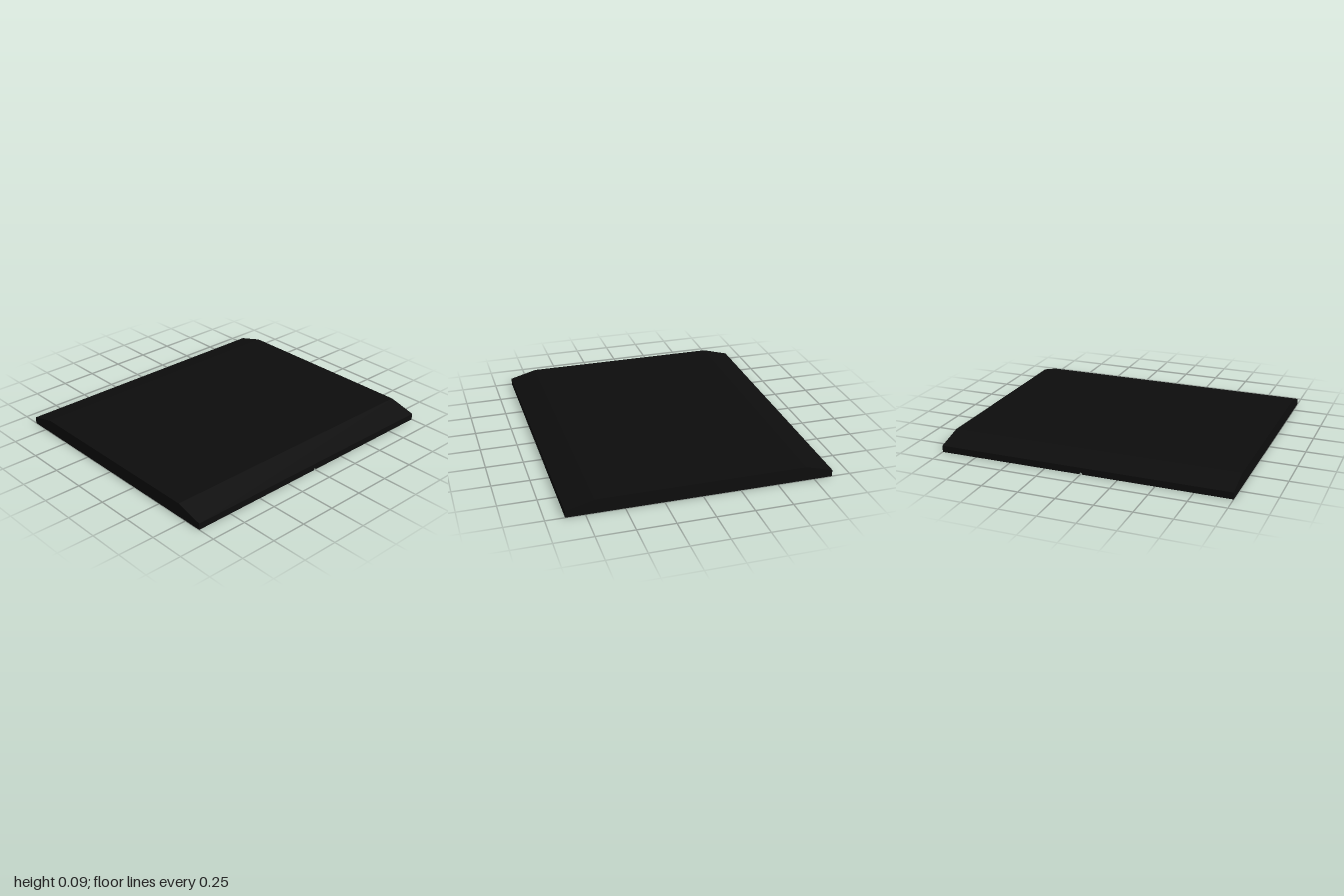
import * as THREE from 'three';

const HALF_X = 0.875, FLOOR = 0.045, TOP = 0.095;
const PX = 0.434, PZ = 0.5; // pocket centres, mirrored in x and z

// Counter-clockwise rounded rectangle
function roundedRect(path, cx, cz, hx, hz, r) {
  path.absarc(cx + hx - r, cz - hz + r, r, -Math.PI / 2, 0);
  path.absarc(cx + hx - r, cz + hz - r, r, 0, Math.PI / 2);
  path.absarc(cx - hx + r, cz + hz - r, r, Math.PI / 2, Math.PI);
  path.absarc(cx - hx + r, cz - hz + r, r, Math.PI, Math.PI * 1.5);
  path.closePath();
  return path;
}

// Horizontal layer of the base between two heights, pierced by the given pockets
function layer(z0, z1, y0, y1, rows) {
  const s = new THREE.Shape();
  s.moveTo(-HALF_X, z0).lineTo(HALF_X, z0).lineTo(HALF_X, z1).lineTo(-HALF_X, z1).closePath();
  for (const sz of rows) for (const sx of [-1, 1])
    s.holes.push(roundedRect(new THREE.Path(), sx * PX, sz * PZ, 0.305, 0.375, 0.1));
  const g = new THREE.ExtrudeGeometry(s, { depth: y1 - y0, bevelEnabled: false, curveSegments: 8 });
  return g.rotateX(Math.PI / 2).translate(0, y1, 0);
}

// Sloping wall from the pocket's rim up to its floor
function pocketWall() {
  const outer = roundedRect(new THREE.Path(), 0, 0, 0.305, 0.375, 0.1).getPoints(8);
  const inner = roundedRect(new THREE.Path(), 0, 0, 0.26, 0.33, 0.06).getPoints(8);
  const pos = [], idx = [];
  outer.forEach((p, i) => {
    pos.push(p.x, 0, p.y, inner[i].x, FLOOR, inner[i].y);
    if (i < outer.length - 1) {
      const a = 2 * i;
      idx.push(a, a + 2, a + 1, a + 2, a + 3, a + 1);
    }
  });
  const g = new THREE.BufferGeometry();
  g.setAttribute('position', new THREE.Float32BufferAttribute(pos, 3));
  g.setIndex(idx);
  g.computeVertexNormals();
  return g;
}

export function createModel() {
  const group = new THREE.Group();
  const black = new THREE.MeshStandardMaterial({ color: 0x0d0d0d });
  black.name = 'matte black';
  const red = new THREE.MeshStandardMaterial({ color: 0xc8301a });
  red.name = 'glowing red';

  const add = (name, geometry, material, x = 0, y = 0, z = 0) => {
    const m = new THREE.Mesh(geometry, material);
    m.name = name;
    m.position.set(x, y, z);
    group.add(m);
  };

  // Upper slab with its two long sides chamfered
  const profile = new THREE.Shape();
  profile.moveTo(-HALF_X, FLOOR).lineTo(HALF_X, FLOOR).lineTo(0.69, TOP).lineTo(-0.69, TOP).closePath();
  add('topSlab', new THREE.ExtrudeGeometry(profile, { depth: 2, bevelEnabled: false }).translate(0, 0, -1), black);

  // Base with four pockets and a shallow groove across the middle
  add('base', layer(-1, 1, 0.012, FLOOR, [-1, 1]), black);
  add('frontUnderside', layer(0.01, 1, 0, 0.012, [1]), black);
  add('backUnderside', layer(-1, -0.01, 0, 0.012, [-1]), black);

  // Pocket walls and a pair of red strips in each pocket
  const wall = pocketWall();
  const strip = new THREE.BoxGeometry(0.012, 0.006, 0.53);
  for (const sx of [-1, 1]) for (const sz of [-1, 1]) {
    add('pocketWall', wall, black, sx * PX, 0, sz * PZ);
    for (const side of [-1, 1])
      add('lightStrip', strip, red, sx * PX + side * 0.15, FLOOR - 0.002, sz * PZ);
  }
  return group;
}
